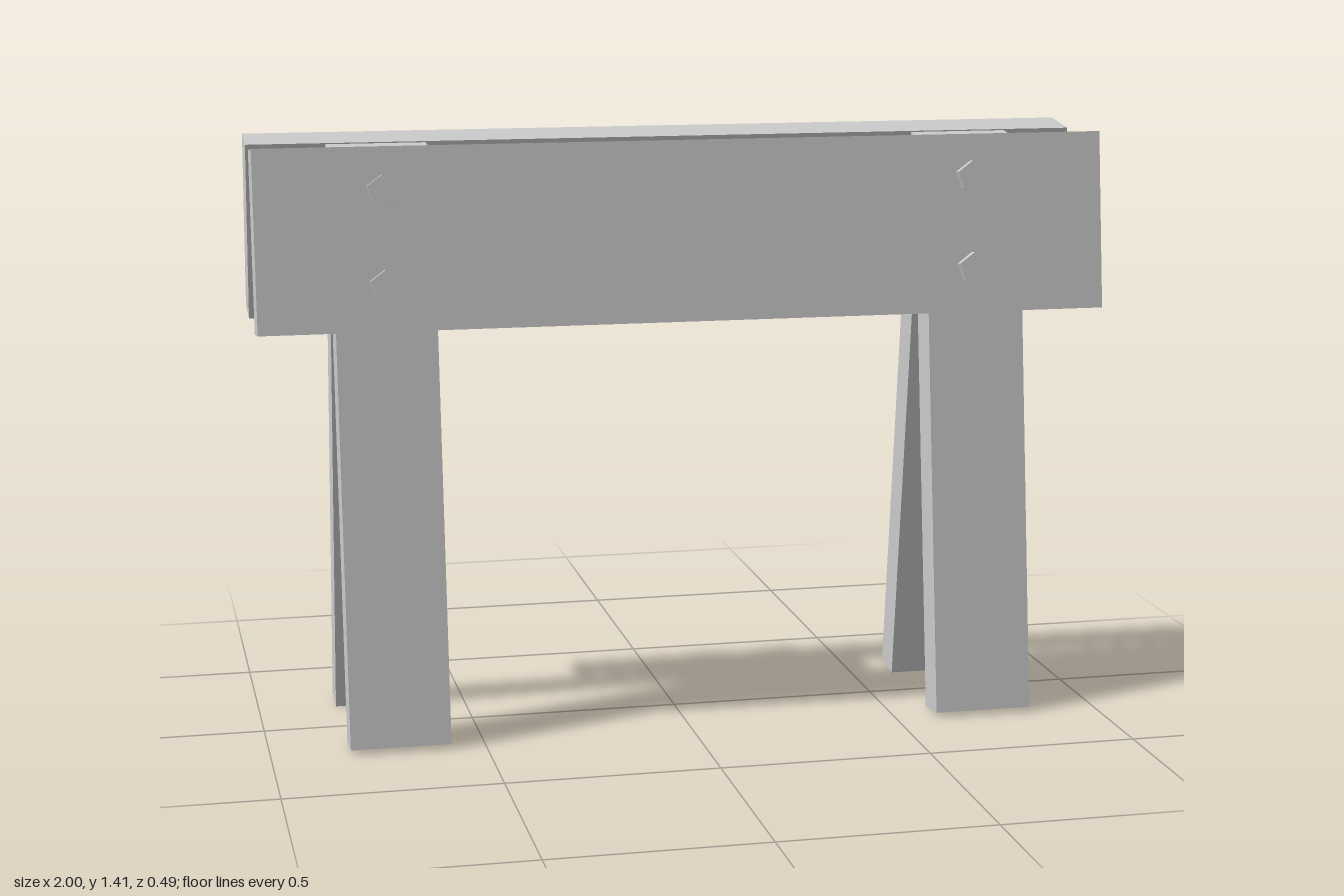
import * as THREE from 'three';

const TILT = THREE.MathUtils.degToRad(7.45);

export function createModel() {
  const model = new THREE.Group();
  model.name = 'roadBarrier';
  const material = new THREE.MeshStandardMaterial({ color: 0xcccccc, flatShading: true });

  const add = (parent, name, geometry, x, y, z) => {
    const mesh = new THREE.Mesh(geometry, material);
    mesh.name = name;
    mesh.position.set(x, y, z);
    parent.add(mesh);
    return mesh;
  };

  const legGeometry = new THREE.BoxGeometry(0.235, 1.388, 0.09);
  const plankGeometry = new THREE.BoxGeometry(1.998, 0.419, 0.114);
  // Five-sided bolt head with one point up
  const boltGeometry = new THREE.CylinderGeometry(0.037, 0.037, 0.05, 5).rotateX(-Math.PI / 2);

  // Each side leans inward; the two pairs of legs cross at the top
  for (const s of [1, -1]) {
    const prefix = s > 0 ? 'front' : 'back';
    const side = new THREE.Group();
    side.name = prefix + 'Side';
    side.position.set(0, 0.008, s * 0.194 - 0.004);
    side.rotation.x = -s * TILT;
    model.add(side);

    for (const x of [-0.6975, 0.7175]) add(side, prefix + 'Leg', legGeometry, x, 0.694, 0);

    // The planks sit slightly off centre relative to the legs
    const plankZ = s * 0.099 - 0.006;
    add(side, prefix + 'Plank', plankGeometry, 0, 0.971 + 0.2095, plankZ);

    // Bolt heads stand proud of the outer plank face
    for (const x of [-0.709, 0.677])
      for (const y of [1.29, 1.075])
        add(side, prefix + 'Bolt', boltGeometry, x, y, plankZ + s * 0.054);
  }

  // Slight twist of the whole frame
  model.rotation.y = -0.009;
  return model;
}
